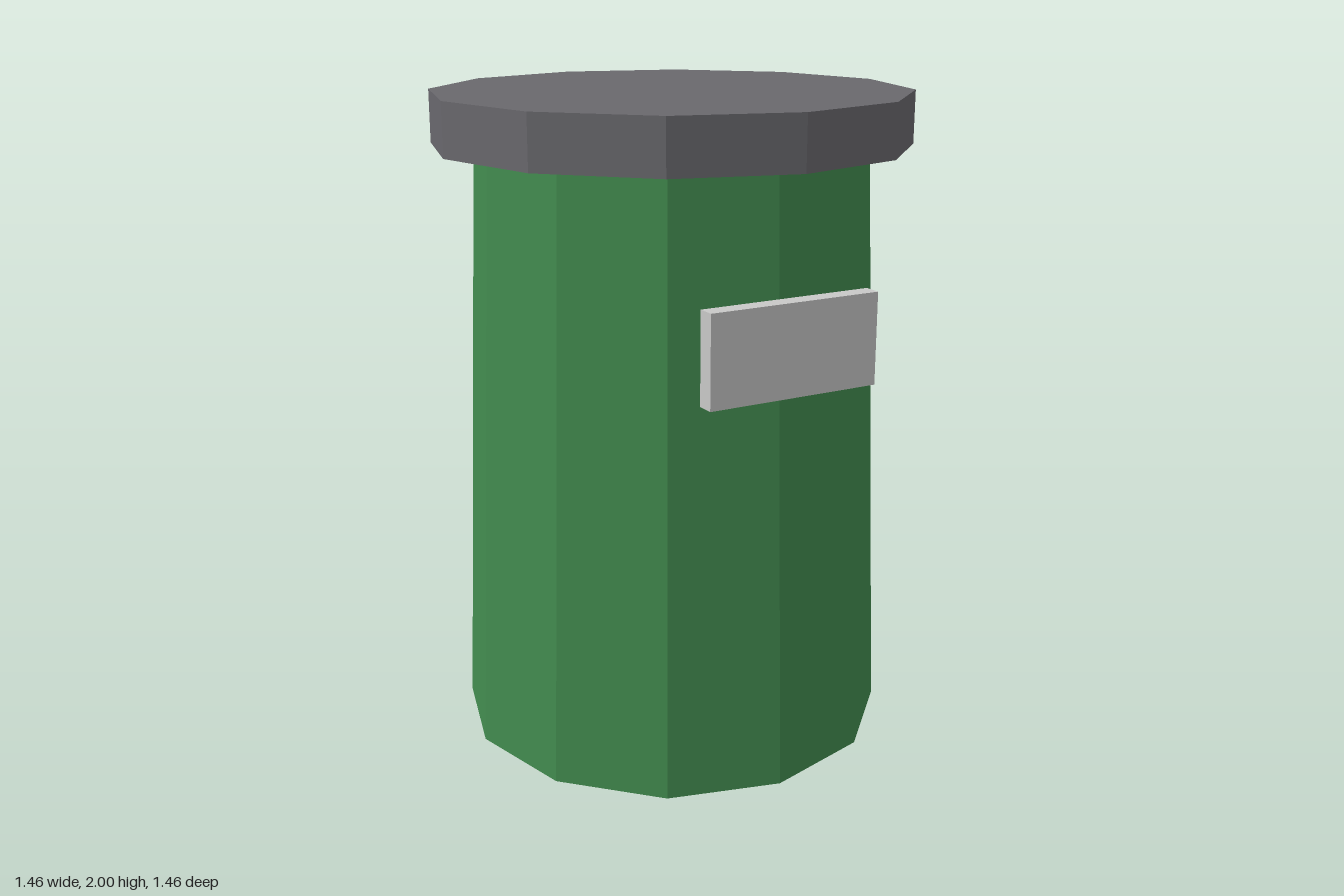
import * as THREE from 'three';

const SIDES = 12;

function mat(name, color) {
  const m = new THREE.MeshStandardMaterial({ color, flatShading: true });
  m.name = name;
  return m;
}

function part(name, geometry, material, y, z = 0) {
  const mesh = new THREE.Mesh(geometry, material);
  mesh.name = name;
  mesh.position.set(0, y, z);
  return mesh;
}

export function createModel() {
  const green = mat('green', 0x428b4f);
  const grey = mat('dark grey', 0x69686d);
  const pale = mat('light grey', 0xc8c8c7);

  const group = new THREE.Group();
  group.name = 'bin';

  // Tapered faceted body, wider at the base
  group.add(part('body', new THREE.CylinderGeometry(0.6, 0.675, 1.84, SIDES), green, 0.92));

  // Overhanging flat lid
  group.add(part('lid', new THREE.CylinderGeometry(0.73, 0.73, 0.16, SIDES), grey, 1.92));

  // Blank plate standing just off the front
  group.add(part('frontPlate', new THREE.BoxGeometry(0.54, 0.27, 0.054), pale, 1.355, 0.675));

  return group;
}
